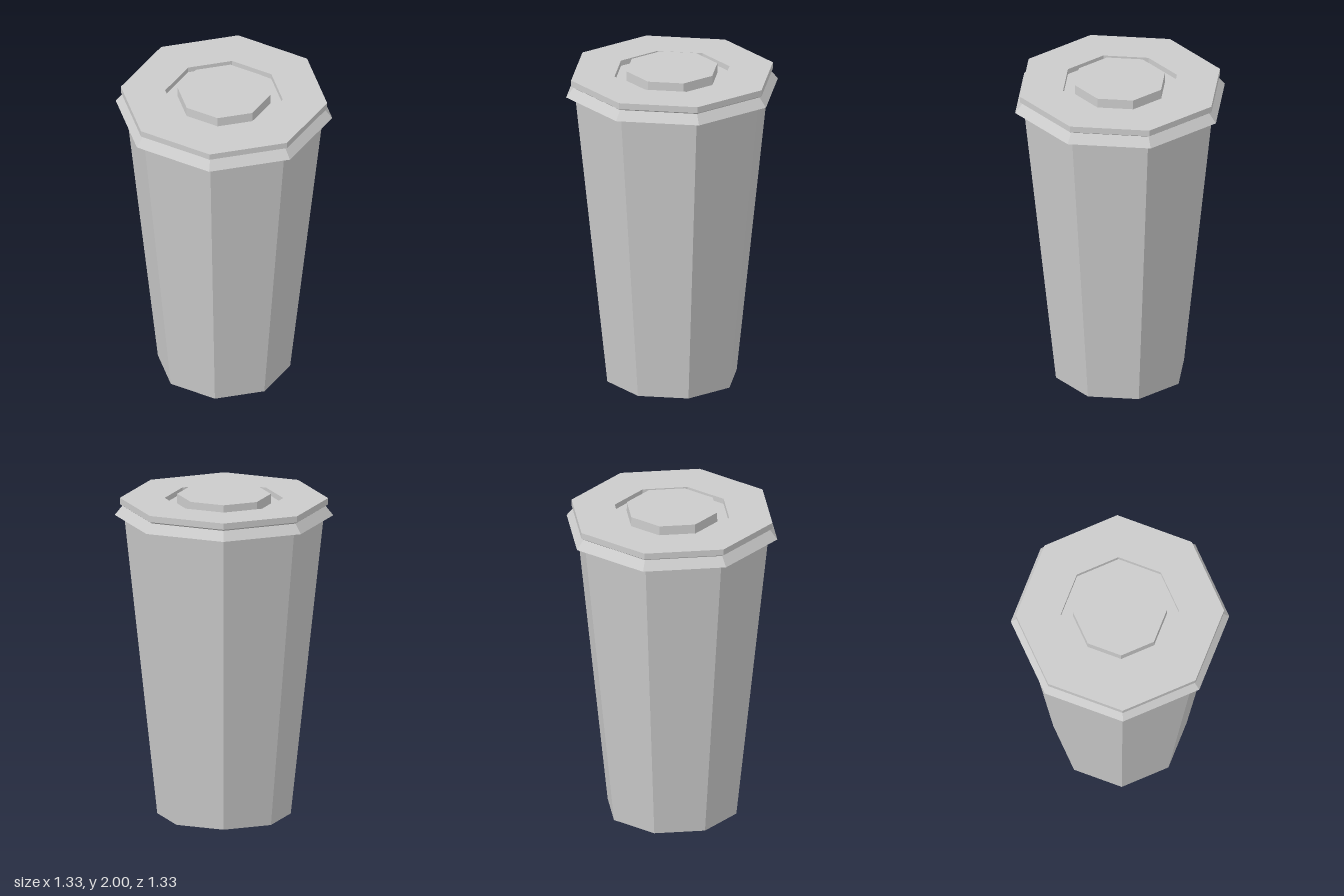
import * as THREE from 'three';

const SIDES = 8;

// Turns a [radius, height] profile into an eight-sided, flat-shaded part.
function turned(name, profile) {
  const points = profile.map(([r, y]) => new THREE.Vector2(r, y));
  const material = new THREE.MeshStandardMaterial({
    color: 0xcccccc, flatShading: true, side: THREE.DoubleSide,
  });
  const mesh = new THREE.Mesh(new THREE.LatheGeometry(points, SIDES), material);
  mesh.name = name;
  return mesh;
}

export function createModel() {
  const model = new THREE.Group();
  model.name = 'takeawayCup';

  // Tapered cup with a recessed base
  model.add(turned('cup', [
    [0, 0.065], [0.35, 0.065], [0.35, 0], [0.405, 0], [0.612, 1.925],
  ]));

  // Lid: open flared skirt, narrow neck, rim and sunken centre
  model.add(turned('lid', [
    [0.663, 1.867], [0.617, 1.925], [0.632, 1.935], [0.632, 1.974],
    [0.36, 1.974], [0.36, 1.94], [0, 1.94],
  ]));

  // Raised disc in the middle of the lid
  model.add(turned('lidButton', [[0.285, 1.94], [0.284, 2], [0, 2]]));

  return model;
}
